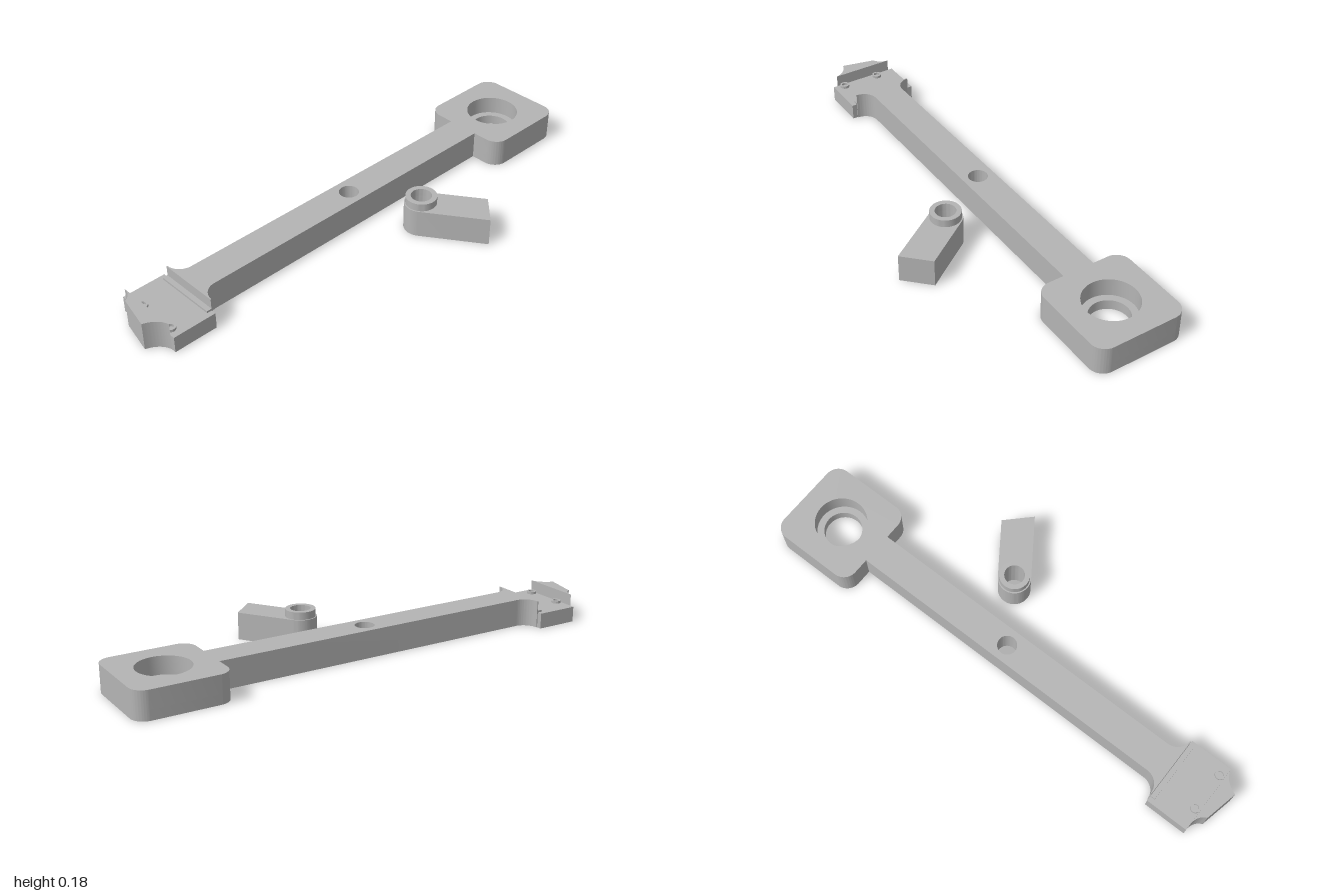
import * as THREE from 'three';
import { toCreasedNormals } from 'three/addons/utils/BufferGeometryUtils.js';

const grey = new THREE.MeshStandardMaterial({ color: 0xb4b4b4 });
grey.name = 'grey';

// Extrudes a plan outline (shape y runs towards -z) from height y0 to y1.
function slab(name, shape, y0, y1) {
  const extruded = new THREE.ExtrudeGeometry(shape, { depth: y1 - y0, bevelEnabled: false, curveSegments: 24 });
  extruded.rotateX(-Math.PI / 2).translate(0, y0, 0);
  const mesh = new THREE.Mesh(toCreasedNormals(extruded, 0.5), grey);
  mesh.name = name;
  return mesh;
}

function addHole(shape, x, y, r) {
  shape.holes.push(new THREE.Path().absarc(x, y, r, 0, Math.PI * 2, true));
  return shape;
}

function ring(x, y, outer, inner) {
  return addHole(new THREE.Shape().absarc(x, y, outer, 0, Math.PI * 2, false), x, y, inner);
}

function rect(x0, x1, y0, y1) {
  return new THREE.Shape([[x0, y0], [x1, y0], [x1, y1], [x0, y1]].map(p => new THREE.Vector2(...p)));
}

// Rounded square head with a centred hole
function headShape(holeRadius) {
  const cx = 0.99, h = 0.231, r = 0.07, k = h - r;
  const s = new THREE.Shape();
  [[1, -1], [1, 1], [-1, 1], [-1, -1]].forEach(([sx, sy], i) => {
    const a = (i - 1) * Math.PI / 2;
    s.absarc(cx + sx * k, sy * k, r, a, a + Math.PI / 2, false);
  });
  s.closePath();
  return addHole(s, cx, 0, holeRadius);
}

export function createModel() {
  const model = new THREE.Group();
  model.name = 'leverSet';

  // Long lever, built along x and turned onto the diagonal
  const lever = new THREE.Group();
  lever.name = 'lever';
  const T = 0.14, padTop = 0.08, ledge = 0.05;

  // Head with a counterbored hole
  lever.add(slab('headLower', headShape(0.095), 0, ledge));
  lever.add(slab('headUpper', headShape(0.13), ledge, T));

  // Arm flaring into a concave shoulder
  const arm = new THREE.Shape();
  const w = 0.08, f = 0.074;
  arm.moveTo(0.761, -w);
  arm.lineTo(0.761, w);
  arm.lineTo(-0.932, w);
  arm.absarc(-0.932, w + f, f, -Math.PI / 2, -Math.PI, true);
  arm.lineTo(-1.011, w + f);
  arm.lineTo(-1.011, -w - f);
  arm.lineTo(-1.006, -w - f);
  arm.absarc(-0.932, -w - f, f, Math.PI, Math.PI / 2, true);
  arm.closePath();
  addHole(arm, -0.053, 0, 0.048);
  lever.add(slab('arm', arm, 0, T));

  // Lowered pad with a low strip and two ring studs
  lever.add(slab('pad', rect(-1.23, -1.011, -0.18, 0.18), 0, padTop));
  lever.add(slab('padStrip', rect(-1.036, -1.011, -0.155, 0.155), padTop, 0.09));
  for (const y of [0.072, -0.125]) {
    lever.add(slab('padStud', ring(-1.205, y, 0.024, 0.015), padTop, 0.093));
  }

  // Full-height end stop with concave sides and a skewed tip
  const stop = new THREE.Shape();
  stop.moveTo(-1.23, 0.156);
  stop.quadraticCurveTo(-1.235, 0.108, -1.274, 0.091);
  stop.lineTo(-1.311, -0.076);
  stop.quadraticCurveTo(-1.243, -0.1, -1.23, -0.156);
  stop.closePath();
  lever.add(slab('endStop', stop, 0, T));

  lever.rotation.y = Math.PI / 4;
  lever.position.set(-0.003, 0, -0.003);
  model.add(lever);

  // Separate latch: round pivot end widening to a flat end
  const latch = new THREE.Group();
  latch.name = 'latch';
  const body = new THREE.Shape();
  const tilt = THREE.MathUtils.degToRad(10), r = 0.081;
  body.moveTo(0.315, -0.14);
  body.lineTo(0.315, 0.026);
  body.absarc(0, 0, r, Math.PI / 2 - tilt, Math.PI * 1.5 - tilt, false);
  body.closePath();
  latch.add(slab('latchBody', addHole(body, 0, 0, 0.05), 0, T));
  latch.add(slab('latchBoss', ring(0, 0, 0.075, 0.05), T, 0.178));
  latch.position.set(0.3, 0, 0.111);
  model.add(latch);

  return model;
}
